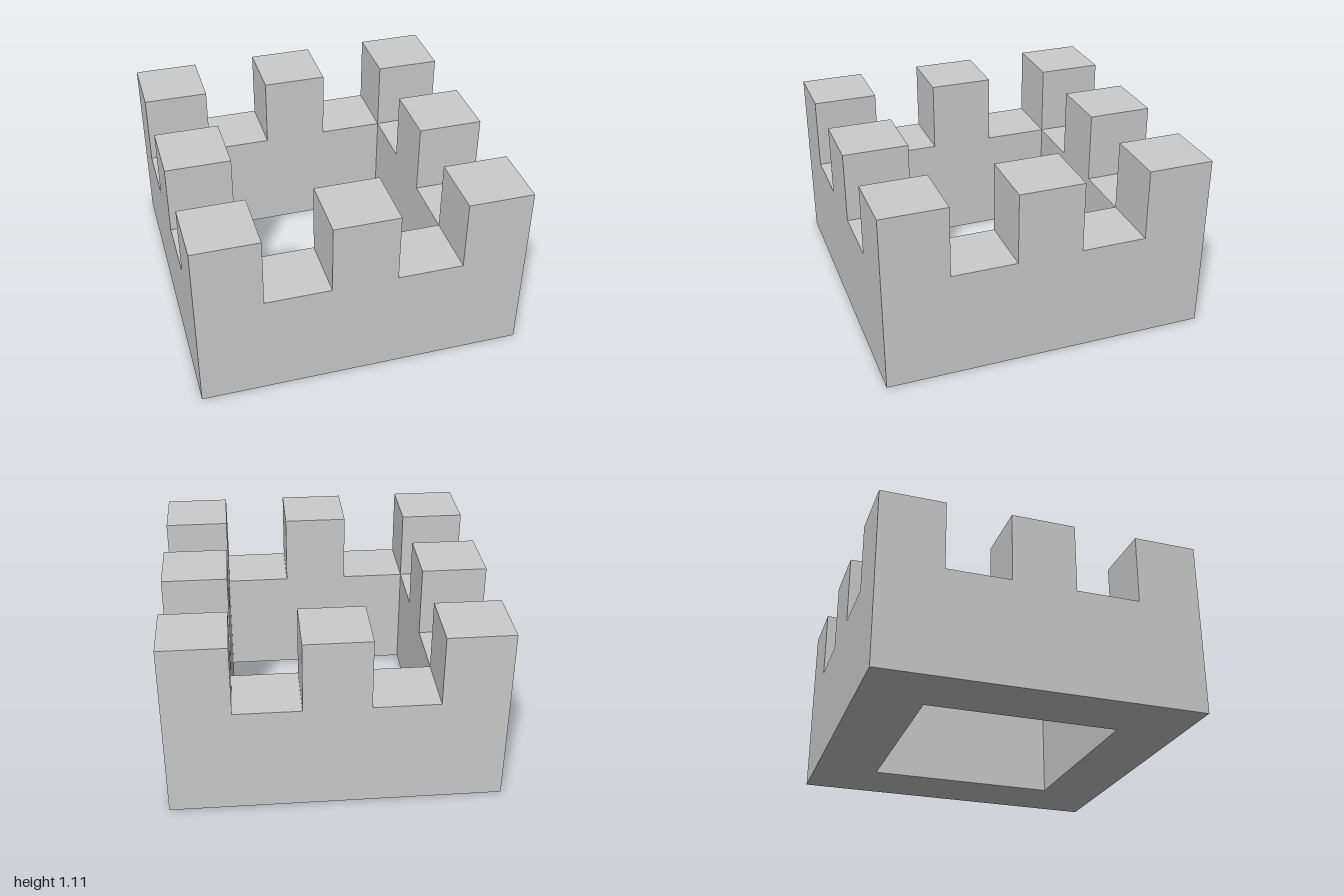
import * as THREE from 'three';

const WALL_HEIGHT = 0.67;
const TOTAL_HEIGHT = 1.11;
const HALF = 1; // outer half width
const THICKNESS = 0.4; // wall thickness and merlon width

// Square outline centred on the origin
function square(half, PathType) {
  return new PathType([
    new THREE.Vector2(-half, -half),
    new THREE.Vector2(half, -half),
    new THREE.Vector2(half, half),
    new THREE.Vector2(-half, half),
  ]);
}

export function createModel() {
  const model = new THREE.Group();
  model.name = 'battlementTower';
  const material = new THREE.MeshStandardMaterial({ color: 0xcccccc, flatShading: true });

  // Square ring wall, open through the middle
  const outline = square(HALF, THREE.Shape);
  outline.holes.push(square(HALF - THICKNESS, THREE.Path));
  const wallGeometry = new THREE.ExtrudeGeometry(outline, { depth: WALL_HEIGHT, bevelEnabled: false });
  wallGeometry.rotateX(-Math.PI / 2);
  const wall = new THREE.Mesh(wallGeometry, material);
  wall.name = 'wall';
  model.add(wall);

  // Merlons at the four corners and the middle of each side
  const merlons = new THREE.Group();
  merlons.name = 'merlons';
  const merlonHeight = TOTAL_HEIGHT - WALL_HEIGHT;
  const merlonGeometry = new THREE.BoxGeometry(THICKNESS, merlonHeight, THICKNESS);
  const offset = HALF - THICKNESS / 2;
  for (const i of [-1, 0, 1]) {
    for (const j of [-1, 0, 1]) {
      if (i === 0 && j === 0) continue;
      const merlon = new THREE.Mesh(merlonGeometry, material);
      merlon.name = i !== 0 && j !== 0 ? 'cornerMerlon' : 'sideMerlon';
      merlon.position.set(i * offset, WALL_HEIGHT + merlonHeight / 2, j * offset);
      merlons.add(merlon);
    }
  }
  model.add(merlons);

  return model;
}
